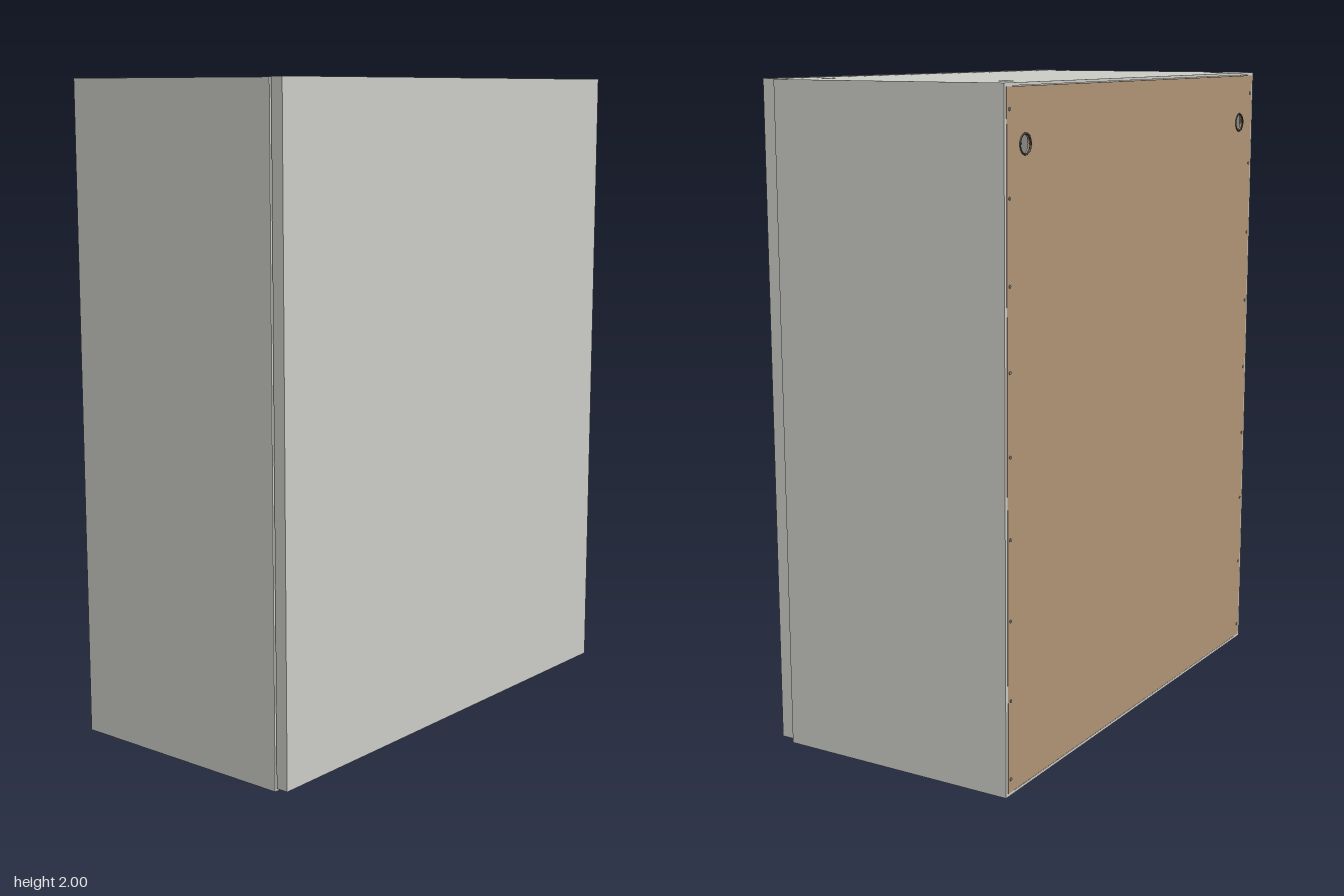
import * as THREE from 'three';

const grey = new THREE.MeshStandardMaterial({ name: 'panelGrey', color: 0xcfcfca });
const brown = new THREE.MeshStandardMaterial({ name: 'boardBrown', color: 0xb5987a });
const metal = new THREE.MeshStandardMaterial({ name: 'fittingGrey', color: 0x8a8a86 });
const dark = new THREE.MeshStandardMaterial({ name: 'slotDark', color: 0x3a3a36 });

const W = 0.796, BACK = -0.405, FRONT = 0.362, T = 0.042;

export function createModel() {
  const model = new THREE.Group();
  model.name = 'wallCabinet';

  const add = (parent, name, geometry, material, x = 0, y = 0, z = 0) => {
    const mesh = new THREE.Mesh(geometry, material);
    mesh.name = name;
    mesh.position.set(x, y, z);
    parent.add(mesh);
    return mesh;
  };
  // Box given by its two extreme corners
  const box = (parent, name, material, x0, x1, y0, y1, z0, z1) =>
    add(parent, name, new THREE.BoxGeometry(x1 - x0, y1 - y0, z1 - z0), material,
      (x0 + x1) / 2, (y0 + y1) / 2, (z0 + z1) / 2);

  // Carcass: two sides, with top and bottom fitted between them
  box(model, 'leftSide', grey, W - T, W, 0, 1.998, BACK, FRONT);
  box(model, 'rightSide', grey, -W, -W + T, 0, 1.998, BACK, FRONT);
  const inner = W - T;
  for (const [name, y0, edge] of [['topPanel', 1.998 - T, 1.99], ['bottomPanel', 0, 0]]) {
    box(model, name, grey, -inner, inner, y0, y0 + T, -0.39, FRONT);
    // Narrow lip covering the edge of the back board
    box(model, name + 'Lip', grey, -inner, inner, edge, edge + 0.008, BACK, -0.39);
  }

  // Back board with two round hanger openings
  const board = new THREE.Shape([
    new THREE.Vector2(-0.785, 0.01), new THREE.Vector2(0.785, 0.01),
    new THREE.Vector2(0.785, 1.988), new THREE.Vector2(-0.785, 1.988),
  ]);
  for (const x of [-0.69, 0.69]) {
    board.holes.push(new THREE.Path().absarc(x, 1.835, 0.028, 0, Math.PI * 2, true));
  }
  add(model, 'backBoard', new THREE.ExtrudeGeometry(board, { depth: 0.01, bevelEnabled: false, curveSegments: 16 }),
    brown, 0, 0, -0.4065);

  for (const s of [-1, 1]) {
    // Hanger block seen through the opening, with its rim
    box(model, 'hangerBlock', metal, s * 0.69 - 0.05, s * 0.69 + 0.05, 1.78, 1.89, -0.385, -0.33);
    add(model, 'hangerRim', new THREE.TorusGeometry(0.028, 0.003, 8, 24), dark, s * 0.69, 1.835, -0.406);
    box(model, 'hangerSlot', dark, s * 0.69 - 0.012, s * 0.69 + 0.012, 1.832, 1.838, -0.388, -0.384);
    // Row of small nails along each edge of the back board
    for (let i = 0; i < 9; i++) {
      const nail = add(model, 'backNail', new THREE.CylinderGeometry(0.005, 0.005, 0.003, 8), metal,
        s * 0.772, 0.05 + i * 0.235, -0.407);
      nail.rotation.x = Math.PI / 2;
    }
  }

  // Slotted connectors, four in the top and four in the bottom
  const fitting = (x, y, z, up) => {
    const g = new THREE.Group();
    g.name = 'connector';
    g.position.set(x, y, z);
    if (!up) g.rotation.x = Math.PI;
    add(g, 'connectorCap', new THREE.CylinderGeometry(0.02, 0.02, 0.002, 24), grey, 0, 0.0005, 0);
    for (let i = 0; i < 8; i++) {
      const a = i * Math.PI / 4;
      const rim = new THREE.RingGeometry(0.0185, 0.0205, 4, 1, a, 0.5);
      rim.rotateX(-Math.PI / 2);
      add(g, 'connectorRim', rim, dark, 0, 0.002, 0);
    }
    box(g, 'connectorSlot', dark, -0.011, 0.011, 0, 0.002, -0.004, 0.004);
    model.add(g);
  };
  for (const x of [-0.665, 0.665]) {
    for (const z of [-0.33, 0.268]) {
      fitting(x, 1.998, z, true);
      fitting(x, 0.002, z, false);
    }
  }

  // Door, standing a hair in front of the carcass
  box(model, 'door', grey, -0.793, 0.79, 0.01, 2, 0.366, 0.405);
  // Hinges joining the door to the side panel
  for (const y of [0.25, 1.75]) {
    box(model, 'hinge', metal, -0.74, -0.68, y - 0.03, y + 0.03, 0.3, 0.366);
  }
  return model;
}
